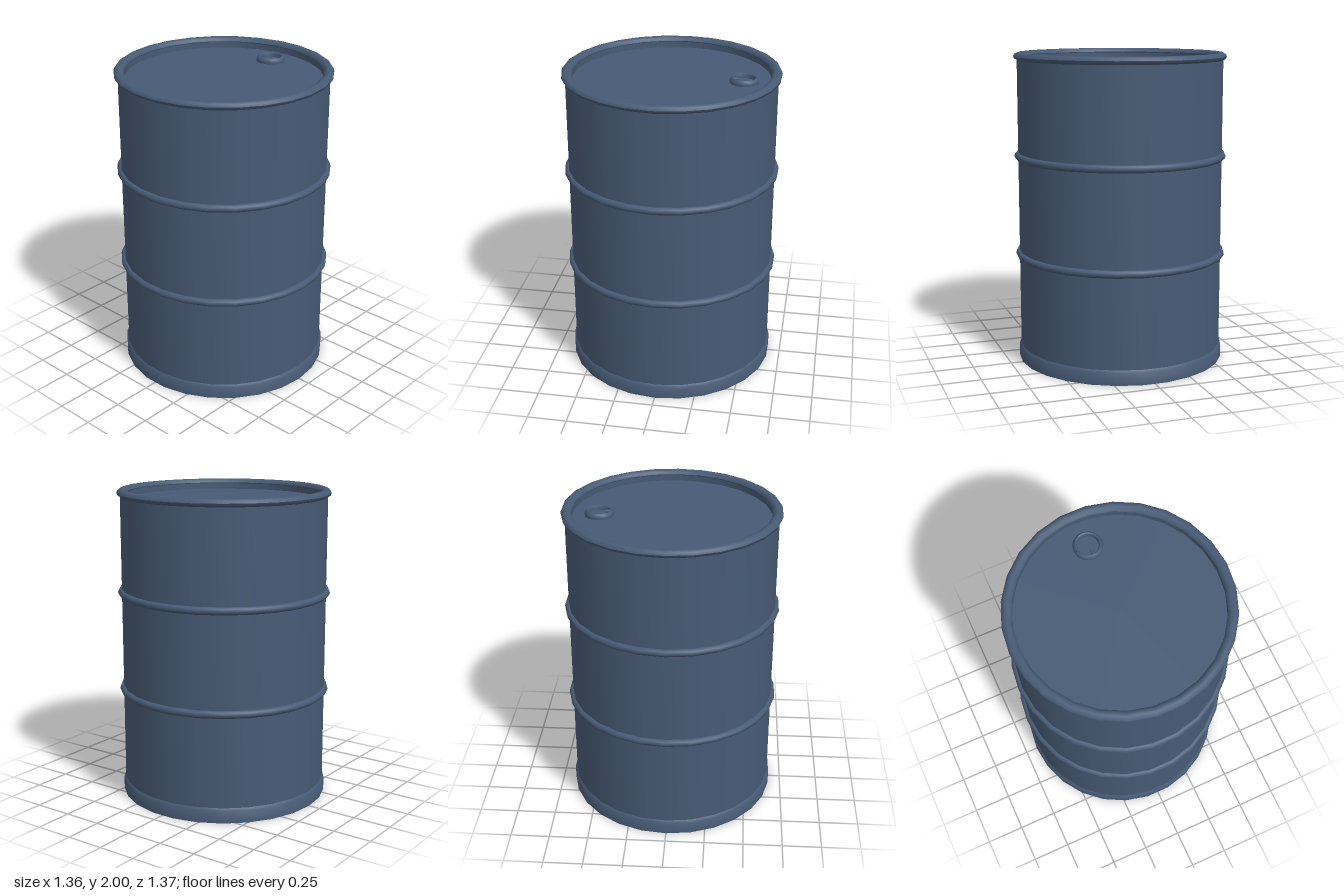
import * as THREE from 'three';
import { toCreasedNormals } from 'three/addons/utils/BufferGeometryUtils.js';

const SIDES = 26;

export function createModel() {
  const group = new THREE.Group();
  group.name = 'barrel';
  const steel = new THREE.MeshStandardMaterial({ color: 0x475b75 });
  steel.name = 'blue steel';

  function add(name, geometry, parent = group) {
    const mesh = new THREE.Mesh(geometry, steel);
    mesh.name = name;
    parent.add(mesh);
    return mesh;
  }

  // Turned part from [radius, height] points, with hard edges kept sharp
  function turned(points, sides = SIDES) {
    const profile = points.map(([r, y]) => new THREE.Vector2(r, y));
    return toCreasedNormals(new THREE.LatheGeometry(profile, sides), 0.75);
  }

  // Closed ring with an oval section
  function ring(radius, y, rx, ry, sides = SIDES, steps = 10) {
    const points = [];
    for (let i = 0; i <= steps; i++) {
      const a = (i / steps) * Math.PI * 2;
      points.push([radius + Math.cos(a) * rx, y + Math.sin(a) * ry]);
    }
    return turned(points, sides);
  }

  // Flat disc whose corners line up with the turned parts
  function disc(radius, y, up, sides = SIDES) {
    const g = new THREE.CircleGeometry(radius, sides, Math.PI / 2);
    g.rotateX(up ? -Math.PI / 2 : Math.PI / 2);
    return g.translate(0, y, 0);
  }

  // Drum wall
  add('wall', turned([[0.66, 0.08], [0.66, 1.975]]));

  // Foot band with a bevelled top and a shallow recess underneath
  add('footBand', turned([[0.653, 0.02], [0.653, 0], [0.672, 0], [0.672, 0.08], [0.66, 0.095]]));
  add('base', disc(0.653, 0.02, false));

  // Rolling hoops
  for (const y of [0.7, 1.34]) add('hoop', ring(0.66, y, 0.025, 0.025));

  // Rolled top rim, its inner wall and the recessed lid
  add('topRim', ring(0.65, 1.975, 0.032, 0.025));
  add('rimInnerWall', turned([[0.62, 1.975], [0.62, 1.932]]));
  add('lid', disc(0.624, 1.932, true));

  // Filler opening: raised collar, plug and small locking lug
  const filler = new THREE.Group();
  filler.name = 'filler';
  filler.position.set(0.45, 1.932, 0);
  group.add(filler);
  add('collar', turned([
    [0.09, 0], [0.092, 0.012], [0.086, 0.026], [0.077, 0.034],
    [0.069, 0.03], [0.065, 0.018], [0.065, 0],
  ], 16), filler);
  add('plug', disc(0.068, 0.004, true, 16), filler);
  const lug = add('lug', new THREE.CylinderGeometry(0.01, 0.01, 0.036, 8), filler);
  lug.rotation.z = Math.PI / 2;
  lug.position.set(-0.053, 0.02, 0.007);

  return group;
}
